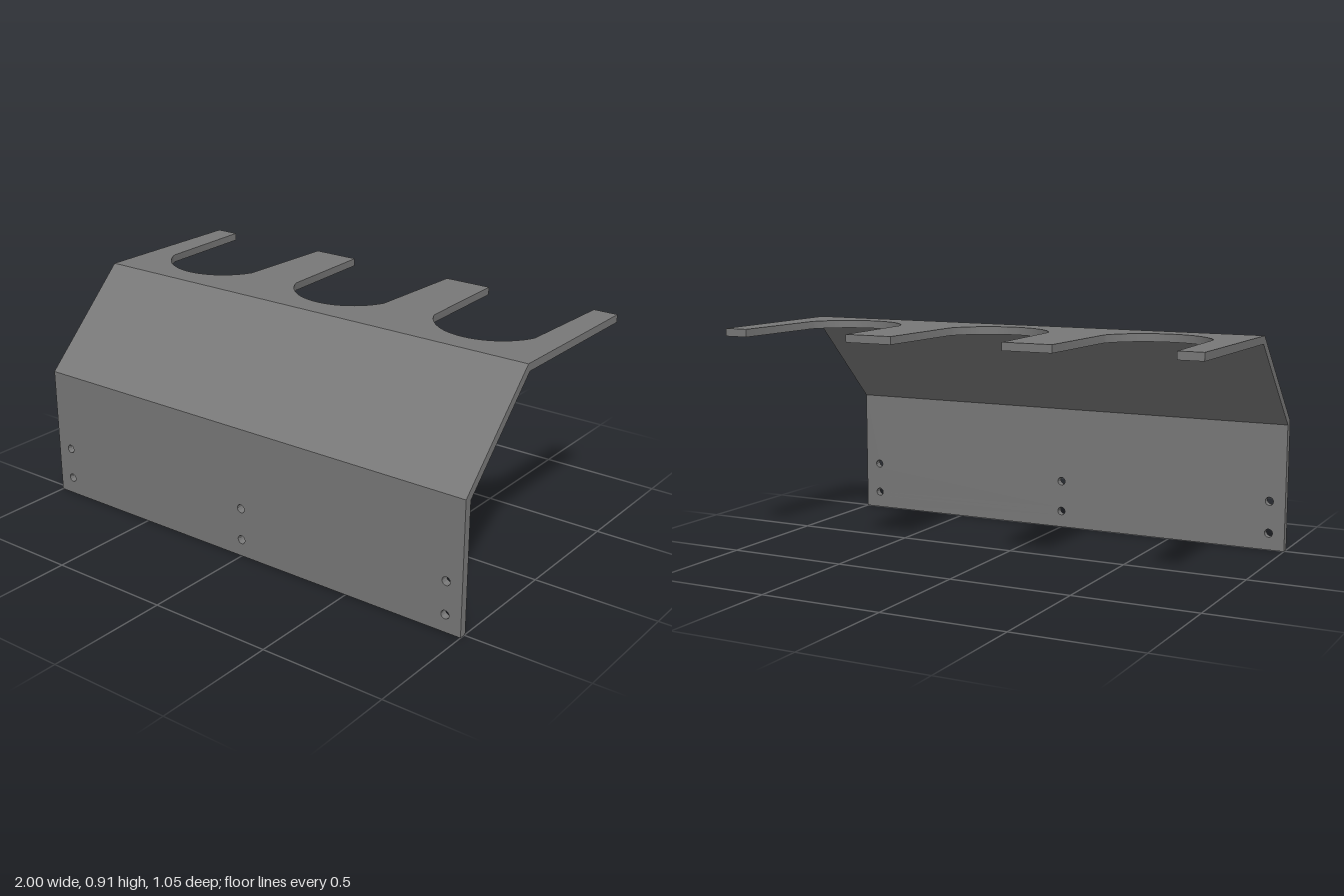
import * as THREE from 'three';
import { toCreasedNormals } from 'three/addons/utils/BufferGeometryUtils.js';

const T = 0.031;                       // sheet thickness
const FRONT = 0.524, BACK = -0.524, TOP = 0.91;
const LOW = [0.535, 0.522];            // lower bend height: outer, inner
const HIGH = [0.147, 0.134];           // upper bend z: outer, inner

const extrude = (shape, depth) =>
  new THREE.ExtrudeGeometry(shape, { depth, bevelEnabled: false, curveSegments: 32 });

// Mitre: move the inner-face vertices that lie on the bend line
function mitre(geo, from, to) {
  const p = geo.attributes.position;
  for (let i = 0; i < p.count; i++) {
    if (p.getZ(i) < T / 2 && Math.abs(p.getY(i) - from) < 1e-4) p.setY(i, to);
  }
  return toCreasedNormals(geo, 0.5);
}

// Upright plate with three pairs of screw holes
function wallGeometry() {
  const s = new THREE.Shape([[-1, 0], [1, 0], [1, LOW[0]], [-1, LOW[0]]]
    .map(([x, y]) => new THREE.Vector2(x, y)));
  for (const x of [-0.933, 0, 0.933]) {
    for (const y of [0.07, 0.203]) {
      s.holes.push(new THREE.Path().absarc(x, y, 0.017, 0, Math.PI * 2, true));
    }
  }
  return mitre(extrude(s, T), LOW[0], LOW[1]).translate(0, 0, FRONT - T);
}

// Sloping plate, its section swept across the width
function slopeGeometry() {
  const s = new THREE.Shape([
    [FRONT, LOW[0]], [HIGH[0], TOP], [HIGH[1], TOP - T], [FRONT - T, LOW[1]],
  ].map(([z, y]) => new THREE.Vector2(-z, y)));
  return extrude(s, 2).rotateY(-Math.PI / 2).rotateY(Math.PI)
    .translate(-1, 0, 0);
}

// Flat shelf with three round-bottomed slots open to the back
function shelfGeometry() {
  const s = new THREE.Shape();
  s.moveTo(-1, -HIGH[0]);
  s.lineTo(1, -HIGH[0]);
  s.lineTo(1, -BACK);
  const a = Math.atan2(-0.09, 0.217);
  for (const c of [0.667, 0, -0.667]) {
    s.lineTo(c + 0.234, -BACK);
    s.absarc(c, 0.19, 0.235, a, Math.PI - a, true);
    s.lineTo(c - 0.234, -BACK);
  }
  s.lineTo(-1, -BACK);
  return mitre(extrude(s, T), -HIGH[0], -HIGH[1])
    .rotateX(-Math.PI / 2).translate(0, TOP - T, 0);
}

export function createModel() {
  const group = new THREE.Group();
  group.name = 'slottedBracket';
  const steel = new THREE.MeshStandardMaterial({ color: 0x787878 });
  steel.name = 'grey steel';
  const parts = {
    mountingPlate: wallGeometry(),
    slopingPlate: slopeGeometry(),
    slottedShelf: shelfGeometry(),
  };
  for (const [name, geo] of Object.entries(parts)) {
    const mesh = new THREE.Mesh(geo, steel);
    mesh.name = name;
    group.add(mesh);
  }
  return group;
}
